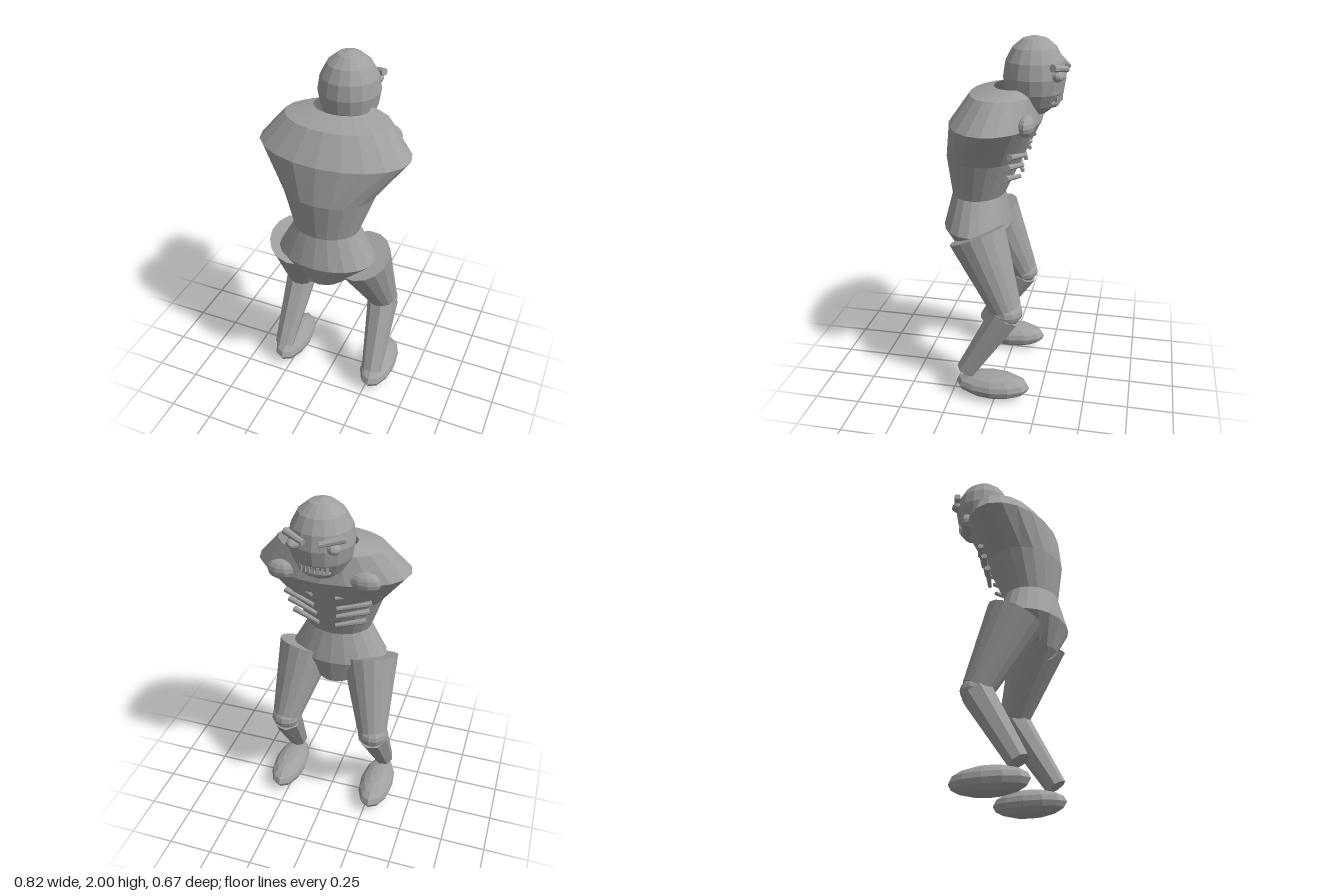
import * as THREE from 'three';

const grey = new THREE.MeshStandardMaterial({ color: 0xa0a0a0, flatShading: true, side: THREE.DoubleSide });
grey.name = 'clay grey';

function add(group, name, geometry) {
  const mesh = new THREE.Mesh(geometry, grey);
  mesh.name = name;
  group.add(mesh);
  return mesh;
}

// Tapered cylinder running from point a (radius ra) to point b (radius rb)
function limb(group, name, a, b, ra, rb, sides) {
  const start = new THREE.Vector3(...a), end = new THREE.Vector3(...b);
  const axis = end.clone().sub(start);
  const mesh = add(group, name, new THREE.CylinderGeometry(rb, ra, axis.length(), sides));
  mesh.position.copy(start).add(end).multiplyScalar(0.5);
  mesh.quaternion.setFromUnitVectors(new THREE.Vector3(0, 1, 0), axis.normalize());
  return mesh;
}

// Ellipsoid with its pole on y
function ball(group, name, pos, radii, sides, rows) {
  const mesh = add(group, name, new THREE.SphereGeometry(1, sides, rows).scale(...radii));
  mesh.position.set(...pos);
  return mesh;
}

// Open tube through elliptical rings [y, halfWidth, zFront, zBack]
function loft(rings, sides) {
  const positions = [], index = [];
  for (const [y, rx, z0, z1] of rings) {
    for (let i = 0; i < sides; i++) {
      const t = (i / sides) * Math.PI * 2;
      positions.push(rx * Math.sin(t), y, (z0 + z1) / 2 + ((z1 - z0) / 2) * Math.cos(t));
    }
  }
  for (let r = 0; r < rings.length - 1; r++) {
    for (let i = 0; i < sides; i++) {
      const j = (i + 1) % sides, a = r * sides, b = a + sides;
      index.push(a + i, a + j, b + j, a + i, b + j, b + i);
    }
  }
  const g = new THREE.BufferGeometry();
  g.setAttribute('position', new THREE.Float32BufferAttribute(positions, 3));
  g.setIndex(index);
  g.computeVertexNormals();
  return g;
}

export function createModel() {
  const model = new THREE.Group();
  model.name = 'stoopedFigure';

  // Torso and pelvis, open at the neck and below
  add(model, 'torso', loft([
    [0.825, 0.13, -0.01, 0.28],
    [0.97, 0.275, -0.04, 0.335],
    [1.145, 0.18, 0.0, 0.29],
    [1.36, 0.255, -0.1, 0.315],
    [1.565, 0.41, -0.2, 0.285],
    [1.71, 0.285, -0.18, 0.18],
    [1.745, 0.15, -0.155, 0.055],
  ], 20));

  ball(model, 'head', [0, 1.795, -0.155], [0.165, 0.205, 0.165], 16, 8);

  for (const s of [1, -1]) {
    const side = s > 0 ? 'left' : 'right';

    // Leg
    const leg = new THREE.Group();
    leg.name = side + 'Leg';
    model.add(leg);
    limb(leg, 'thigh', [s * 0.19, 0.962, 0.115], [s * 0.262, 0.56, -0.06], 0.16, 0.085, 16);
    ball(leg, 'knee', [s * 0.265, 0.545, -0.067], [0.086, 0.07, 0.084], 12, 8);
    limb(leg, 'shin', [s * 0.265, 0.53, -0.058], [s * 0.288, 0.16, 0.168], 0.09, 0.058, 8);
    ball(leg, 'foot', [s * 0.285, 0.08, 0.015], [0.1, 0.075, 0.212], 12, 8);

    // Chest
    const chest = new THREE.Group();
    chest.name = side + 'Chest';
    model.add(chest);
    ball(chest, 'pectoral', [s * 0.215, 1.585, -0.15], [0.085, 0.055, 0.045], 10, 8);
    const ribs = [
      [[0.25, 1.49, -0.06], [0.062, 1.465, -0.15]],
      [[0.235, 1.42, -0.07], [0.063, 1.388, -0.125]],
      [[0.22, 1.36, -0.055], [0.055, 1.328, -0.106]],
      [[0.2, 1.292, -0.042], [0.046, 1.262, -0.09]],
    ];
    for (const [[ax, ay, az], [bx, by, bz]] of ribs) {
      limb(chest, 'rib', [s * ax, ay, az], [s * bx, by, bz], 0.017, 0.011, 8);
    }

    // Brow and eye
    const face = new THREE.Group();
    face.name = side + 'Face';
    model.add(face);
    limb(face, 'brow', [s * 0.146, 1.862, -0.267], [s * 0.038, 1.842, -0.323], 0.02, 0.015, 8);
    ball(face, 'eye', [s * 0.095, 1.812, -0.283], [0.042, 0.028, 0.032], 10, 8).rotation.y = s * 0.5;
    ball(face, 'pupil', [s * 0.102, 1.812, -0.313], [0.012, 0.012, 0.01], 8, 6);
  }

  // Mouth: a lower lip with a row of teeth above it
  ball(model, 'lowerLip', [0, 1.668, -0.258], [0.078, 0.03, 0.035], 12, 8).rotation.x = 0.35;
  for (let i = 0; i < 7; i++) {
    const a = (i - 3) * 0.16;
    const tooth = add(model, 'tooth', new THREE.BoxGeometry(0.014, 0.032, 0.014));
    tooth.position.set(0.142 * Math.sin(a), 1.692, -0.155 - 0.142 * Math.cos(a));
    tooth.rotation.y = -a;
  }

  return model;
}
